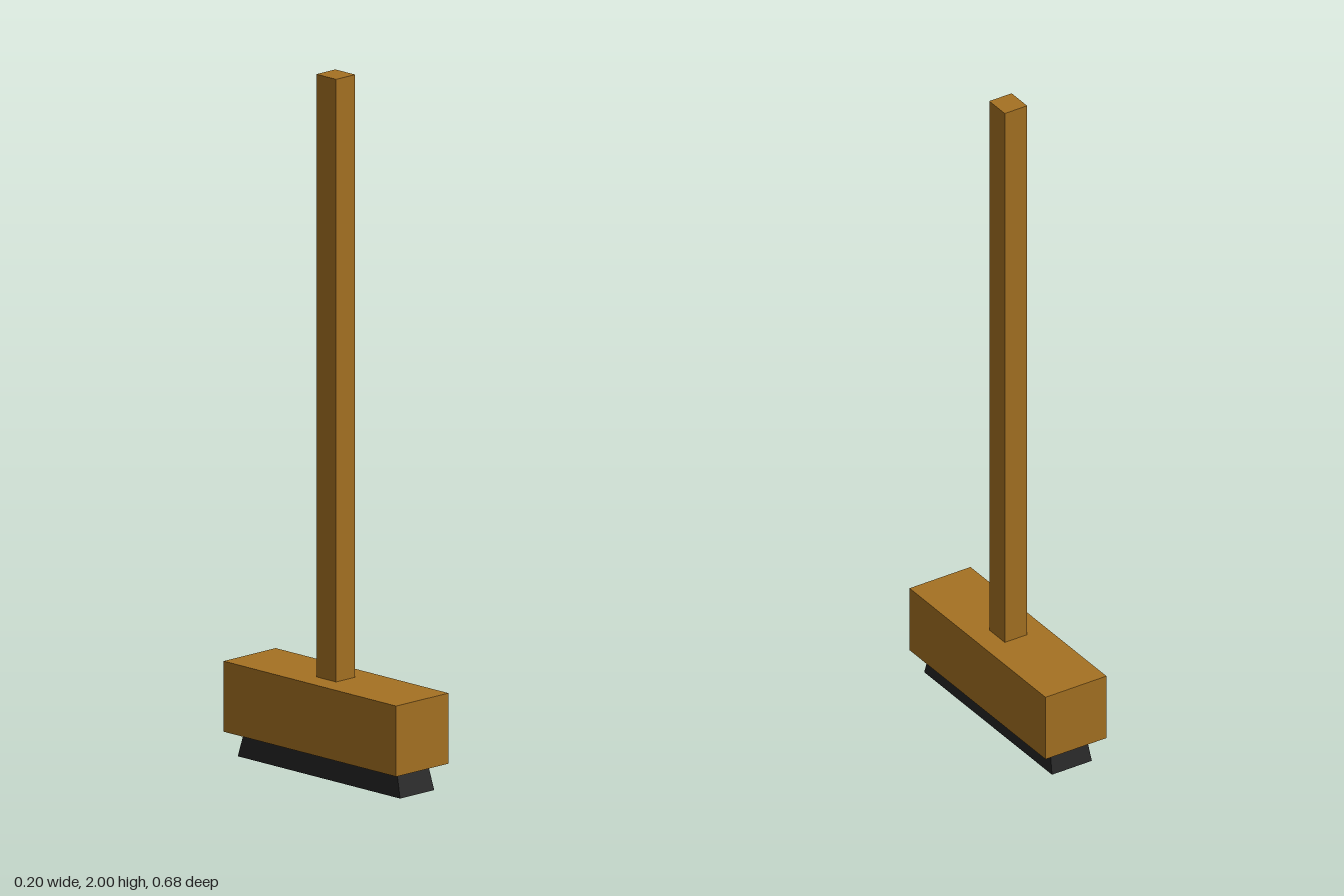
import * as THREE from 'three';

const wood = new THREE.MeshStandardMaterial({ color: 0xa57122 });
wood.name = 'wood';
const bristle = new THREE.MeshStandardMaterial({ color: 0x242424 });
bristle.name = 'bristle black';

// Box standing between two heights, optionally narrowed at the top
function block(name, material, width, depth, bottom, top, topWidth = width, topDepth = depth) {
  const height = top - bottom;
  const geometry = new THREE.BoxGeometry(width, height, depth);
  const pos = geometry.attributes.position;
  for (let i = 0; i < pos.count; i++) {
    if (pos.getY(i) > 0) {
      pos.setX(i, Math.sign(pos.getX(i)) * topWidth / 2);
      pos.setZ(i, Math.sign(pos.getZ(i)) * topDepth / 2);
    }
  }
  geometry.computeVertexNormals();
  const mesh = new THREE.Mesh(geometry, material);
  mesh.name = name;
  mesh.position.y = bottom + height / 2;
  return mesh;
}

export function createModel() {
  const broom = new THREE.Group();
  broom.name = 'broom';

  // Square handle, wooden head and flared bristles
  const handle = block('handle', wood, 0.074, 0.078, 0.275, 2);
  handle.position.z = -0.001;
  const head = block('head', wood, 0.202, 0.684, 0.073, 0.275);
  const bristles = block('bristles', bristle, 0.132, 0.643, 0, 0.073, 0.12, 0.605);

  broom.add(handle, head, bristles);
  return broom;
}
